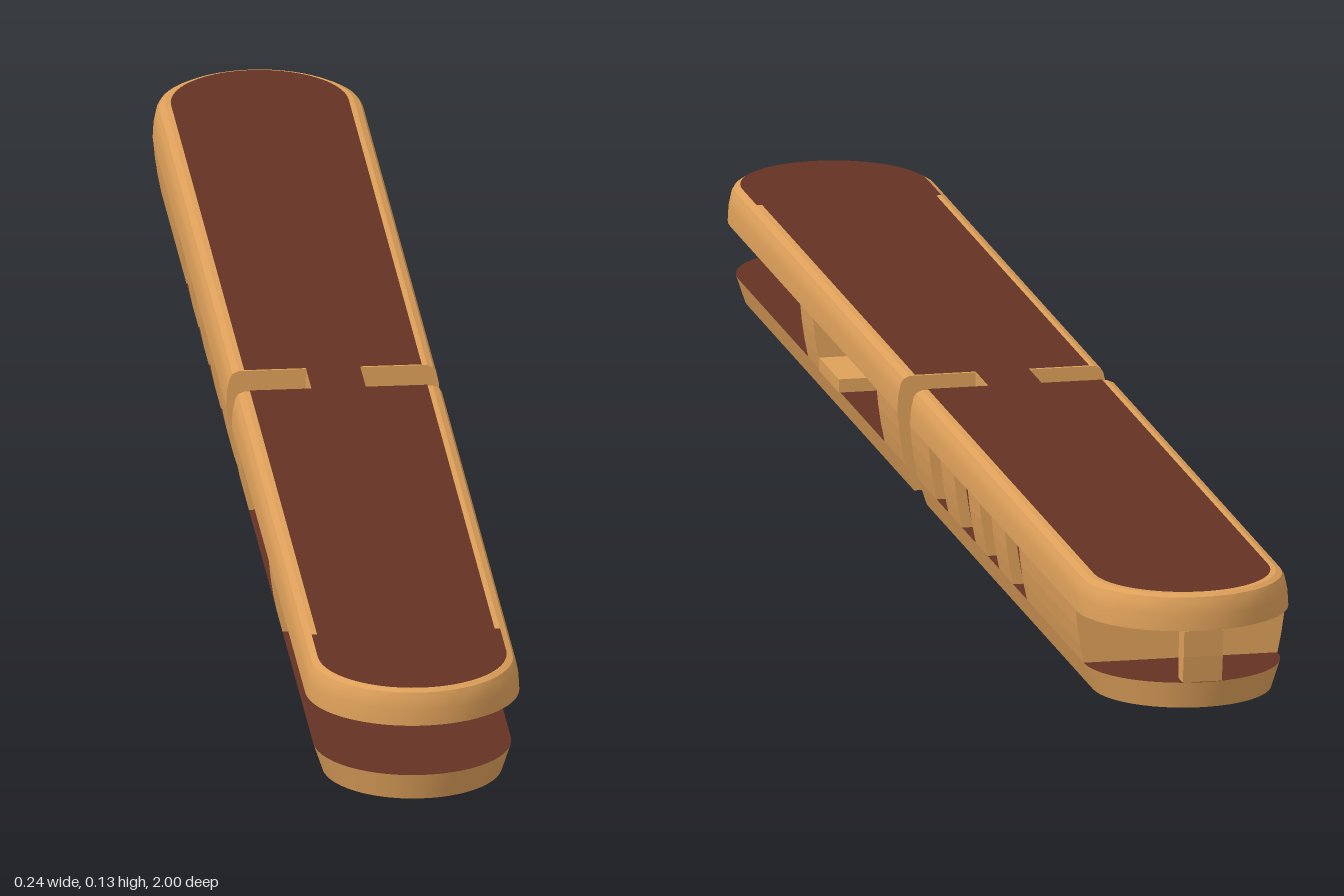
import * as THREE from 'three';
import { toCreasedNormals } from 'three/addons/utils/BufferGeometryUtils.js';

const tan = new THREE.MeshStandardMaterial({ color: 0xdea05a });
const brown = new THREE.MeshStandardMaterial({ color: 0x653324, side: THREE.DoubleSide });

const FRONT = 0.03, BACK = -0.035, NECK = 0.03, ARC_Z = 0.882, STEPS = 28;

// Closed plan outline [x, z]: two round-ended halves joined by a narrow neck
function outline(hw, frontHw = hw) {
  const pts = [];
  const depth = (w) => 0.118 - (0.118 - w) * 0.7;
  const half = (s, notch, w) => {
    pts.push([s * NECK, notch], [s * hw, notch], [s * hw, s * 0.81], [s * w, s * 0.811]);
    for (let i = 0; i <= STEPS; i++) {
      const a = (Math.PI * i) / STEPS;
      pts.push([s * w * Math.cos(a), s * (ARC_Z + depth(w) * Math.sin(a))]);
    }
    pts.push([-s * w, s * 0.811], [-s * hw, s * 0.81], [-s * hw, notch], [-s * NECK, notch]);
  };
  half(1, FRONT, frontHw);
  half(-1, BACK, hw);
  return pts;
}

// Skin lofted through [halfWidth, y] levels
function loft(levels) {
  const rings = levels.map(([hw, y]) => outline(hw).map(([x, z]) => [x, y, z]));
  const n = rings[0].length, index = [];
  for (let k = 0; k < rings.length - 1; k++) {
    for (let i = 0; i < n; i++) {
      const a = k * n + i, b = k * n + ((i + 1) % n);
      index.push(a, a + n, b, b, a + n, b + n);
    }
  }
  const g = new THREE.BufferGeometry();
  g.setAttribute('position', new THREE.Float32BufferAttribute(rings.flat(2), 3));
  g.setIndex(index);
  return toCreasedNormals(g, 0.6);
}

// Flat sheet filling the plan outline at height y
function sheet(pts, y) {
  const g = new THREE.ShapeGeometry(new THREE.Shape(pts.map(([x, z]) => new THREE.Vector2(x, -z))));
  return g.rotateX(-Math.PI / 2).translate(0, y, 0);
}

// Outer half-width of the middle storey, from sill to eaves
const wallProfile = [[0.109, 0.03], [0.113, 0.05], [0.116, 0.07], [0.118, 0.09]];

// Section of the middle storey, extruded between two z positions
function section(pts, z0, z1) {
  const shape = new THREE.Shape(pts.map((p) => new THREE.Vector2(...p)));
  return new THREE.ExtrudeGeometry(shape, { depth: z1 - z0, bevelEnabled: false }).translate(0, 0, z0);
}
const crossSection = [...wallProfile, ...wallProfile.map(([x, y]) => [-x, y]).reverse()];
const sideSection = (s) => [
  ...wallProfile.map(([x, y]) => [s * x, y]),
  ...wallProfile.map(([x, y]) => [s * (x - 0.012), y]).reverse(),
];

export function createModel() {
  const group = new THREE.Group();
  const add = (name, geometry, material = tan) => {
    const mesh = new THREE.Mesh(geometry, material);
    mesh.name = name;
    group.add(mesh);
    return mesh;
  };
  const box = (name, w, h, d, x, y, z) =>
    add(name, new THREE.BoxGeometry(w, h, d).translate(x, y, z));

  // Lower hull and roof rims
  tan.side = THREE.DoubleSide;
  add('lowerRim', loft([[0.099, 0], [0.104, 0.015], [0.109, 0.03]]));
  add('roofRim', loft([[0.118, 0.09], [0.117, 0.108], [0.114, 0.122], [0.111, 0.127], [0.104, 0.13]]));
  add('roofEdge', sheet(outline(0.104), 0.13));

  // Floors, ceiling and roof panel
  add('underside', sheet(outline(0.099), 0), brown);
  add('floor', sheet(outline(0.109), 0.03), brown);
  add('ceiling', sheet(outline(0.118), 0.09), brown);
  add('roofPanel', sheet(outline(0.098, 0.104), 0.131), brown);

  // Neck joining the two halves
  box('neck', NECK * 2, 0.06, FRONT - BACK, 0, 0.06, (FRONT + BACK) / 2);

  // Full-width walls
  const crossWalls = {
    frontBulkhead: [0.46, 0.525],
    frontNotchWall: [FRONT, 0.135],
    backNotchWall: [-0.06, BACK],
    backBulkhead: [-0.88, -0.865],
  };
  for (const [name, [z0, z1]] of Object.entries(crossWalls)) add(name, section(crossSection, z0, z1));

  // Low step behind the front bulkhead
  box('step', 0.08, 0.015, 0.1, 0.071, 0.0375, 0.41);

  // Window piers along both sides of the back half
  const piers = [[-0.13, -0.06], [-0.26, -0.19], [-0.39, -0.33], [-0.52, -0.45], [-0.865, -0.59]];
  for (const s of [1, -1]) {
    for (const [z0, z1] of piers) add(s > 0 ? 'leftPier' : 'rightPier', section(sideSection(s), z0, z1));
  }

  // Inner partitions behind every second window
  for (const z of [-0.295, -0.555]) box('partition', 0.012, 0.06, 0.1, 0, 0.06, z);

  // Curved centre post in the rounded back end
  const post = [[-0.991, 0.03], [-0.996, 0.06], [-0.999, 0.09], [-0.972, 0.09], [-0.968, 0.03]];
  add('backPost', section(post, -0.022, 0.022).rotateY(-Math.PI / 2));

  return group;
}
